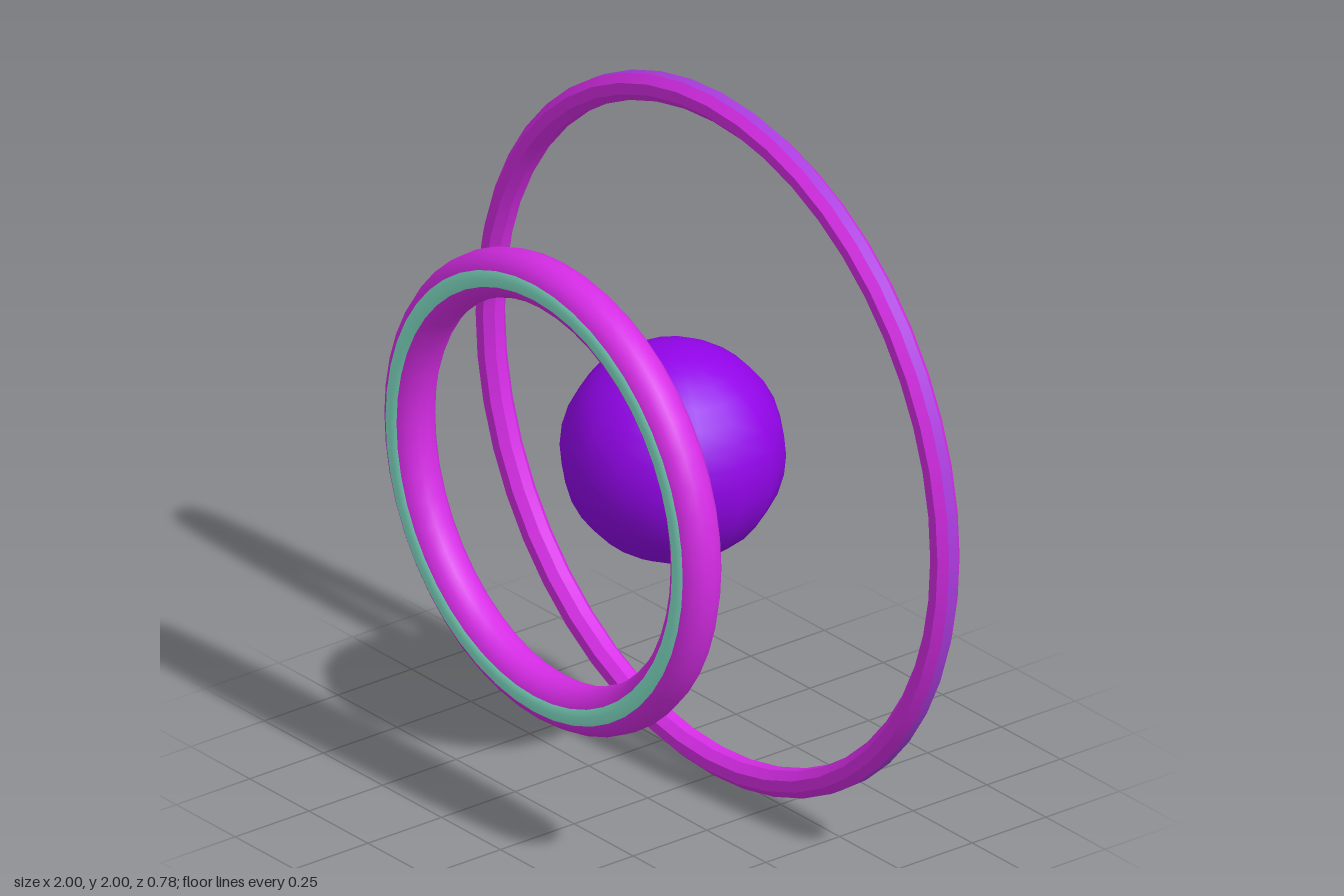
import * as THREE from 'three';

const magenta = new THREE.MeshStandardMaterial({ name: 'magenta', color: 0xd62ce6 });
const violet = new THREE.MeshStandardMaterial({ name: 'violet', color: 0x9204e8 });
const indigo = new THREE.MeshStandardMaterial({ name: 'indigo', color: 0x8048d6 });
const orchid = new THREE.MeshStandardMaterial({ name: 'orchid', color: 0xaa3cde });
const teal = new THREE.MeshStandardMaterial({ name: 'teal', color: 0x88ead0 });

// A band of a round tube swept about the z axis, between two angles in degrees:
// 0 points outwards, 90 to the front, 180 inwards, 270 to the back.
function ringBand(name, material, radius, tube, from, to, steps, smooth) {
  const profile = [];
  for (let k = 0; k <= steps; k++) {
    const a = THREE.MathUtils.degToRad(from + ((to - from) * k) / steps);
    profile.push(new THREE.Vector2(radius + tube * Math.cos(a), tube * Math.sin(a)));
  }
  const geometry = new THREE.LatheGeometry(profile, 48);
  geometry.rotateX(Math.PI / 2);
  if (smooth) {
    // Round tube normals, continuous across neighbouring bands
    const p = geometry.attributes.position;
    const n = geometry.attributes.normal;
    const v = new THREE.Vector3();
    const centre = new THREE.Vector3();
    for (let i = 0; i < p.count; i++) {
      v.fromBufferAttribute(p, i);
      centre.set(v.x, v.y, 0).setLength(radius);
      v.sub(centre).normalize();
      n.setXYZ(i, v.x, v.y, v.z);
    }
  }
  const mesh = new THREE.Mesh(geometry, material);
  mesh.name = name;
  return mesh;
}

export function createModel() {
  const model = new THREE.Group();
  model.name = 'ringedOrb';

  // Central ball
  const orb = new THREE.Mesh(new THREE.SphereGeometry(0.302, 16, 16), violet);
  orb.name = 'orb';
  orb.position.set(0, 1, -0.085);
  model.add(orb);

  // Thick front ring: teal front stripe, magenta sides, back fading to indigo
  const frontRing = new THREE.Group();
  frontRing.name = 'frontRing';
  frontRing.position.set(0, 1, 0.322);
  const bands = [
    ['Stripe', teal, 70, 110, 2],
    ['Inside', magenta, 110, 240, 5],
    ['InnerFade', orchid, 240, 256, 1],
    ['Back', indigo, 256, 284, 2],
    ['OuterFade', orchid, 284, 300, 1],
    ['Outside', magenta, 300, 430, 5],
  ];
  for (const [part, material, from, to, steps] of bands) {
    frontRing.add(ringBand('frontRing' + part, material, 0.606, 0.068, from, to, steps, true));
  }
  model.add(frontRing);

  // Thin eight-sided back ring with crisp edges, its outer rim slightly bluer
  const backRing = new THREE.Group();
  backRing.name = 'backRing';
  backRing.position.set(0, 1, -0.237);
  for (let k = 0; k < 8; k++) {
    const material = k === 0 ? orchid : magenta;
    const from = k * 45 - 22.5;
    backRing.add(ringBand(`backRingFace${k + 1}`, material, 0.9625, 0.0406, from, from + 45, 1, false));
  }
  model.add(backRing);

  return model;
}
